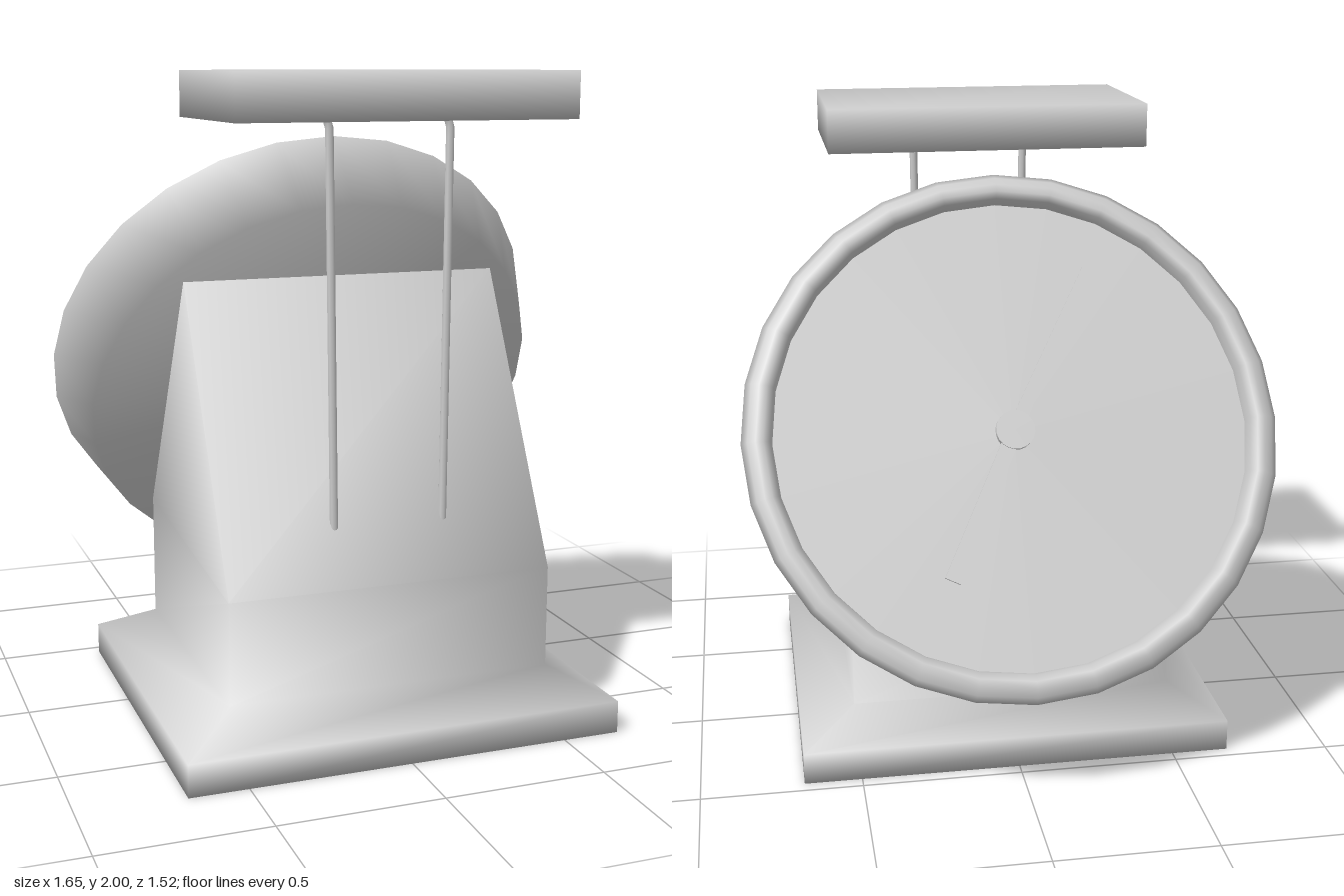
import * as THREE from 'three';
import { mergeVertices } from 'three/addons/utils/BufferGeometryUtils.js';

const grey = new THREE.MeshStandardMaterial({ color: 0xcccccc });
const greyDouble = new THREE.MeshStandardMaterial({ color: 0xcccccc, side: THREE.DoubleSide });

function part(name, geometry, parent, material = grey) {
  const mesh = new THREE.Mesh(geometry, material);
  mesh.name = name;
  parent.add(mesh);
  return mesh;
}

// Share corners so shading runs softly over the edges
function weld(geometry) {
  geometry.deleteAttribute('normal');
  geometry.deleteAttribute('uv');
  const welded = mergeVertices(geometry);
  welded.computeVertexNormals();
  return welded;
}

// Rings of four corners: [half width, front z, front y, back z, back y]
function loftRings(rings) {
  const positions = [], index = [];
  for (const [w, zf, yf, zb, yb] of rings) {
    positions.push(-w, yf, zf, w, yf, zf, w, yb, zb, -w, yb, zb);
  }
  for (let r = 0; r < rings.length - 1; r++) {
    for (let i = 0; i < 4; i++) {
      const a = r * 4 + i, b = r * 4 + (i + 1) % 4;
      index.push(a, b, b + 4, a, b + 4, a + 4);
    }
  }
  index.push(0, 2, 1, 0, 3, 2); // underside
  const g = new THREE.BufferGeometry();
  g.setAttribute('position', new THREE.Float32BufferAttribute(positions, 3));
  g.setIndex(index);
  g.computeVertexNormals();
  return g;
}

export function createModel() {
  const model = new THREE.Group();
  model.name = 'weighingScale';

  // Flared foot and wedge-shaped housing
  part('body', loftRings([
    [0.68, 0.76, 0, -0.46, 0],
    [0.68, 0.76, 0.1, -0.46, 0.1],
    [0.51, 0.6, 0.185, -0.31, 0.185],
    [0.51, 0.6, 0.5, -0.31, 0.58],
    [0.51, 0.145, 1.37, 0.145, 1.37],
  ]), model);

  // Weighing plate
  const plate = part('plate', weld(new THREE.BoxGeometry(1.02, 0.137, 0.578)), model);
  plate.position.set(0, 1.9315, 0.427);

  // Two thin rods, hooked at the top
  for (const [name, bottom, top] of [['rightRod', -0.155, -0.17], ['leftRod', 0.195, 0.203]]) {
    const path = new THREE.CurvePath();
    const bend = new THREE.Vector3(top, 1.83, 0.505);
    path.add(new THREE.LineCurve3(new THREE.Vector3(bottom, 0.66, 0.505), bend));
    path.add(new THREE.QuadraticBezierCurve3(bend,
      new THREE.Vector3(top, 1.87, 0.505), new THREE.Vector3(top - 0.03, 1.89, 0.505)));
    part(name, new THREE.TubeGeometry(path, 40, 0.013, 8), model);
  }

  // Dial, tilted to face up and back; its local y is the facing direction
  const dial = new THREE.Group();
  dial.name = 'dial';
  dial.position.set(0, 0.955, -0.12);
  dial.rotation.x = -Math.PI / 3;
  model.add(dial);

  const profile = [[0, 0], [0.743, 0], [0.824, 0.256], [0.805, 0.276], [0.78, 0.29],
    [0.757, 0.291], [0.737, 0.278], [0.73, 0.23]];
  part('dialCase', new THREE.LatheGeometry(
    profile.map(([r, y]) => new THREE.Vector2(r, y)), 28), dial, greyDouble);

  const face = part('dialFace', new THREE.CircleGeometry(0.735, 28), dial);
  face.rotation.x = -Math.PI / 2;
  face.position.y = 0.235;

  // Pointer: long tapering tip and a straight tail, on a small hub
  const pointer = new THREE.Group();
  pointer.name = 'pointer';
  pointer.rotation.y = Math.atan2(-0.26, 0.52);
  dial.add(pointer);

  const outline = new THREE.Shape([[-0.016, 0.5], [0.016, 0.5], [0.024, 0], [0, -0.57], [-0.024, 0]]
    .map(([x, y]) => new THREE.Vector2(x * (y === 0.5 ? 1.6 : 1), y)));
  const needle = part('needle', new THREE.ExtrudeGeometry(outline,
    { depth: 0.01, bevelEnabled: false }), pointer);
  needle.rotation.x = -Math.PI / 2;
  needle.position.y = 0.265;

  const hub = part('hub', new THREE.CylinderGeometry(0.06, 0.06, 0.018, 20), pointer);
  hub.position.y = 0.27;
  const post = part('hubPost', new THREE.CylinderGeometry(0.055, 0.055, 0.035, 20), pointer);
  post.position.y = 0.247;

  return model;
}
